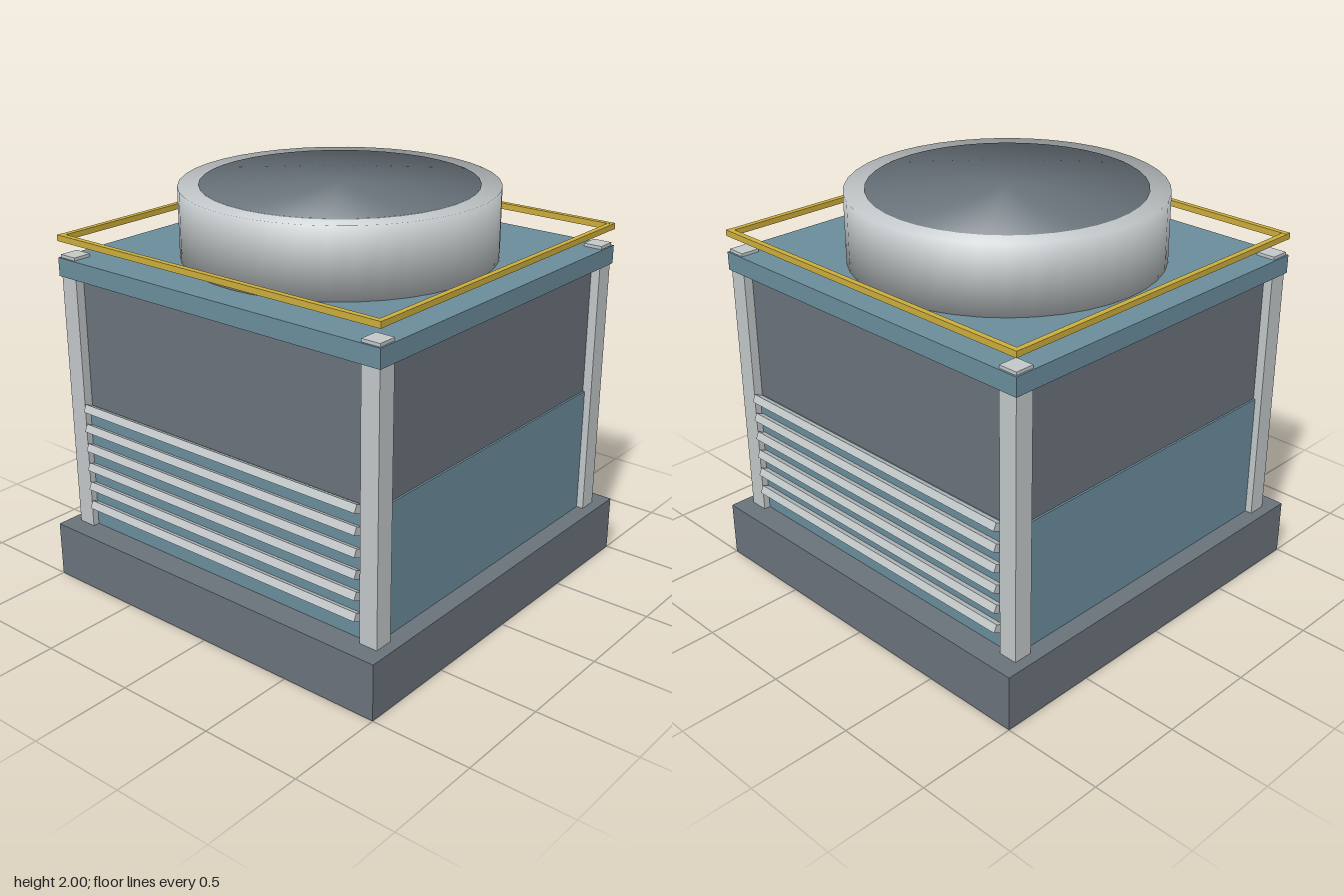
import * as THREE from 'three';
import { mergeVertices } from 'three/addons/utils/BufferGeometryUtils.js';

function mat(name, color) {
  const m = new THREE.MeshStandardMaterial({ color });
  m.name = name;
  return m;
}

// Cylinder whose shading runs softly over the rim, as one smooth surface
function softDrum(radius, height) {
  let g = new THREE.CylinderGeometry(radius, radius, height, 40);
  g.deleteAttribute('uv');
  g.deleteAttribute('normal');
  g.clearGroups();
  g = mergeVertices(g, 1e-4);
  const p = g.attributes.position;
  const normals = new Float32Array(p.count * 3);
  const n = new THREE.Vector3();
  for (let i = 0; i < p.count; i++) {
    n.set(p.getX(i) / radius, Math.sign(p.getY(i)), p.getZ(i) / radius).normalize();
    n.toArray(normals, i * 3);
  }
  g.setAttribute('normal', new THREE.BufferAttribute(normals, 3));
  return g;
}

export function createModel() {
  const model = new THREE.Group();
  model.name = 'coolingTower';

  const slate = mat('slateGrey', 0x6a737b);
  const blue = mat('steelBlue', 0x6b8d9d);
  const light = mat('lightGrey', 0xc3c8ca);
  const yellow = mat('safetyYellow', 0xcdae3c);

  function add(name, geometry, material, x, y, z, parent = model) {
    const mesh = new THREE.Mesh(geometry, material);
    mesh.name = name;
    mesh.position.set(x, y, z);
    parent.add(mesh);
    return mesh;
  }
  // Box given by its size in x and z and its bottom and top heights
  function box(name, material, w, y0, y1, d, x = 0, z = 0, parent = model) {
    return add(name, new THREE.BoxGeometry(w, y1 - y0, d), material, x, (y0 + y1) / 2, z, parent);
  }

  // Basin, casing and roof
  box('basin', slate, 2, 0, 0.28, 2);
  box('upperCasing', slate, 1.8, 0.92, 1.57, 1.72);
  box('lowerCasing', blue, 1.82, 0.28, 0.92, 1.745);
  box('roofDeck', blue, 1.91, 1.57, 1.66, 1.83);

  // Corner posts, poking out above the roof
  for (const sx of [-1, 1]) {
    for (const sz of [-1, 1]) {
      const x0 = 0.898 * sx, z0 = 0.858 * sz;
      box('cornerPost', light, 0.095, 0.28, 1.675, 0.095, x0, z0);
    }
  }

  // Tilted louvres on the front and back
  const slat = new THREE.BoxGeometry(1.675, 0.039, 0.046);
  for (const turn of [0, Math.PI]) {
    const bank = new THREE.Group();
    bank.name = turn ? 'backLouvres' : 'frontLouvres';
    bank.rotation.y = turn;
    for (let i = 0; i < 6; i++) {
      const s = add('louvre', slat, light, 0, 0.917 - i * 0.1035, 0.899, bank);
      s.rotation.x = -0.43;
    }
    model.add(bank);
  }

  // Fan housing with its dark opening
  add('fanHousing', softDrum(0.755, 0.335), light, 0, 1.8275, 0);
  add('fanOpening', softDrum(0.658, 0.3), slate, 0, 1.85, 0);

  // Guard rail around the roof
  const rail = new THREE.Group();
  rail.name = 'guardRail';
  for (const s of [-1, 1]) {
    box('longRail', yellow, 1.908, 1.74, 1.77, 0.028, 0, 0.9 * s, rail);
    box('sideRail', yellow, 0.028, 1.741, 1.769, 1.772, 0.94 * s, 0, rail);
  }
  model.add(rail);

  return model;
}
